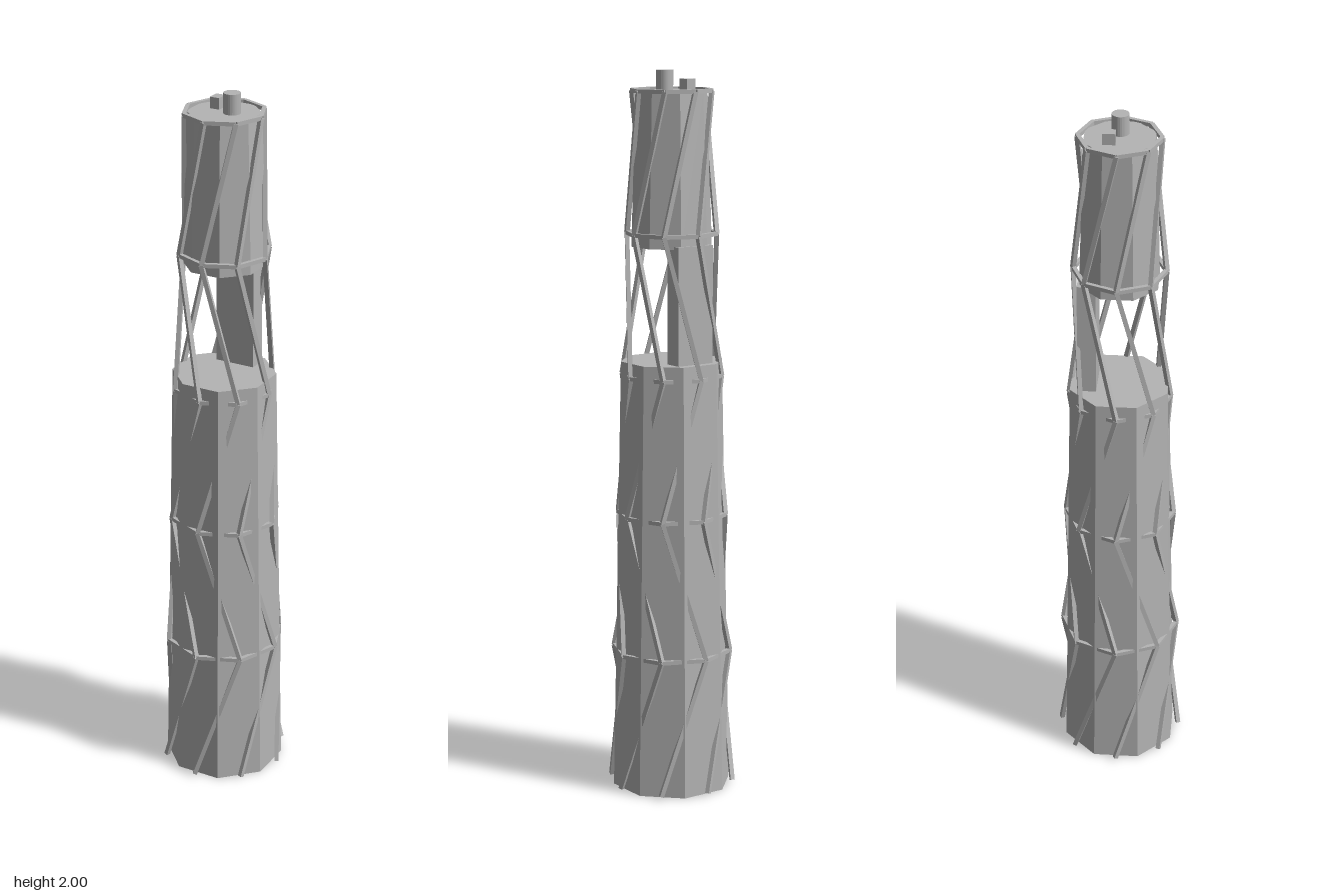
import * as THREE from 'three';

export function createModel() {
  const root = new THREE.Group();
  const grey = new THREE.MeshStandardMaterial({ color: 0xb4b4b4, flatShading: true });
  grey.name = 'concrete grey';

  function add(name, geometry, x, y, z, parent = root) {
    const mesh = new THREE.Mesh(geometry, grey);
    mesh.name = name;
    mesh.position.set(x, y, z);
    parent.add(mesh);
    return mesh;
  }

  // Tapering octagonal tower block with a flat face to the front
  function octagon(name, y0, y1, apothem0, apothem1) {
    const k = 1 / Math.cos(Math.PI / 8);
    const geometry = new THREE.CylinderGeometry(apothem1 * k, apothem0 * k, y1 - y0, 8);
    geometry.rotateY(Math.PI / 8);
    return add(name, geometry, 0, (y0 + y1) / 2, 0);
  }

  // Square bar between two points
  function bar(name, a, b, thickness, parent) {
    const geometry = new THREE.BoxGeometry(thickness, thickness, a.distanceTo(b));
    const mid = a.clone().add(b).multiplyScalar(0.5);
    const mesh = add(name, geometry, mid.x, mid.y, mid.z, parent);
    mesh.lookAt(b);
  }

  octagon('lowerTower', 0, 1.21, 0.155, 0.132);
  octagon('upperTower', 1.525, 1.945, 0.104, 0.092);

  // Core wall carrying the upper block across the open storey
  add('coreWall', new THREE.BoxGeometry(0.115, 0.33, 0.05), -0.001, 1.368, -0.085);

  // Bracing nodes sit over the face centres
  const levels = [0.008, 0.39, 0.78, 1.17, 1.56, 1.945];
  const radii = [0.174, 0.164, 0.151, 0.138, 0.124, 0.109];
  const node = (level, i) => {
    const t = (i * Math.PI) / 4;
    return new THREE.Vector3(radii[level] * Math.sin(t), levels[level], radii[level] * Math.cos(t));
  };

  // Diagonal struts, leaning the other way on each tier, with a ring on top
  for (let level = 0; level < 5; level++) {
    const tier = new THREE.Group();
    tier.name = 'bracingTier' + (level + 1);
    root.add(tier);
    const lean = level % 2 === 0 ? 1 : -1;
    for (let i = 0; i < 8; i++) {
      bar('diagonalStrut', node(level, i), node(level + 1, i + lean), 0.012, tier);
      bar('ringBar', node(level + 1, i), node(level + 1, i + 1), 0.011, tier);
    }
  }

  // Roof equipment
  add('roofFlue', new THREE.CylinderGeometry(0.023, 0.023, 0.06, 24), 0.023, 1.97, 0);
  add('roofBox', new THREE.BoxGeometry(0.028, 0.035, 0.034), -0.034, 1.9585, -0.025);

  return root;
}
